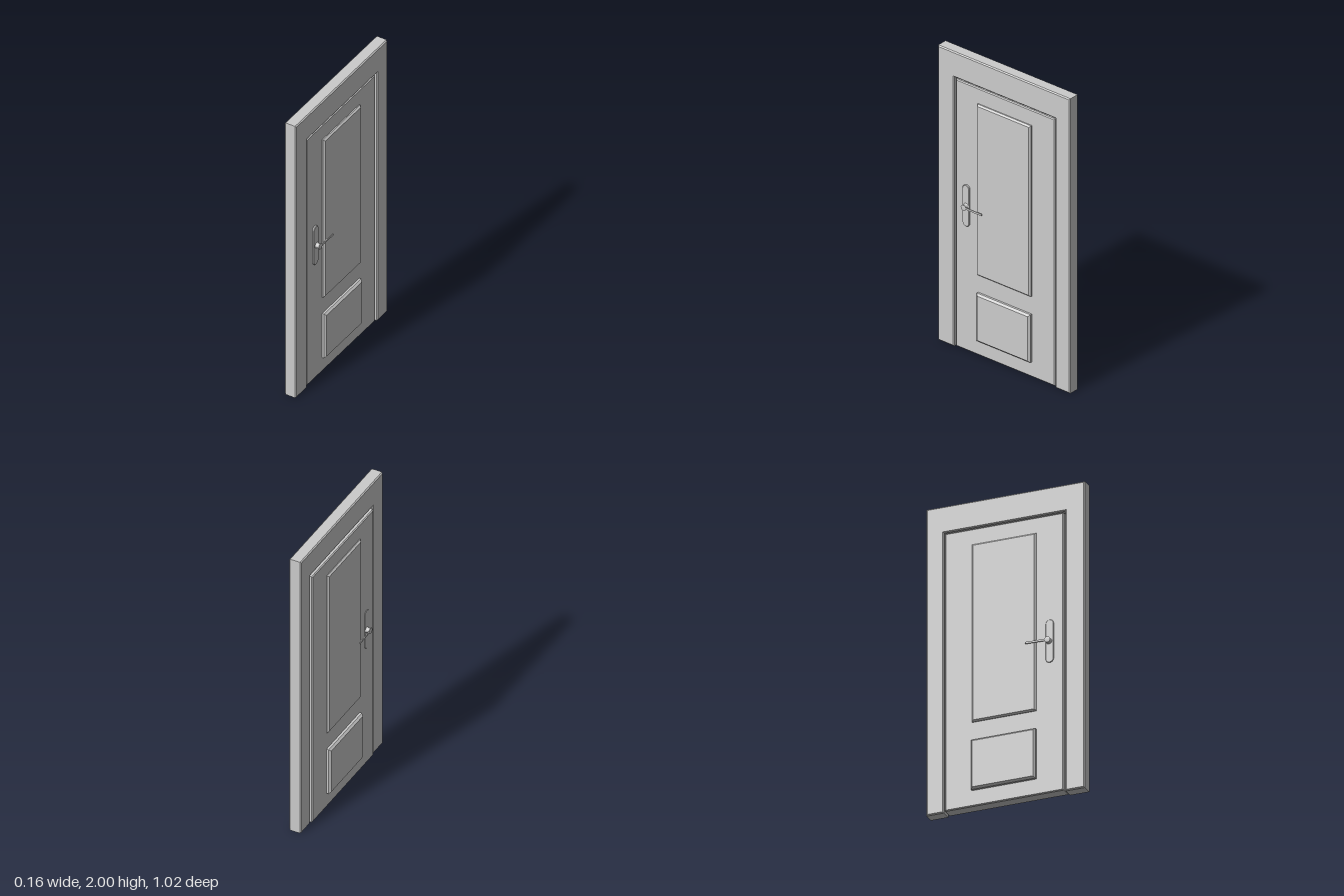
import * as THREE from 'three';

const material = new THREE.MeshStandardMaterial({ color: 0xcccccc, flatShading: true, side: THREE.DoubleSide });
const smooth = new THREE.MeshStandardMaterial({ color: 0xcccccc, side: THREE.DoubleSide });

function add(group, name, geometry, mat = material) {
  const mesh = new THREE.Mesh(geometry, mat);
  mesh.name = name;
  group.add(mesh);
  return mesh;
}

// Outline in (z, y), extruded across x from x0 to x1 with chamfered edges
function slab(shape, x0, x1, bevel, curveSegments = 12) {
  const geometry = new THREE.ExtrudeGeometry(shape, {
    depth: x1 - x0 - 2 * bevel, bevelEnabled: true, bevelThickness: bevel,
    bevelSize: bevel, bevelOffset: -bevel, bevelSegments: 1, curveSegments,
  });
  geometry.rotateY(-Math.PI / 2);
  geometry.translate(x1 - bevel, 0, 0);
  return geometry;
}

const polygon = (points) => new THREE.Shape(points.map(([z, y]) => new THREE.Vector2(z, y)));
const rect = (z0, z1, y0, y1) => polygon([[z0, y0], [z1, y0], [z1, y1], [z0, y1]]);

// Upright stadium outline for the handle plates
function stadium(z, y0, y1, r) {
  const shape = new THREE.Shape();
  shape.moveTo(z + r, y0 + r);
  shape.lineTo(z + r, y1 - r);
  shape.absarc(z, y1 - r, r, 0, Math.PI, false);
  shape.lineTo(z - r, y0 + r);
  shape.absarc(z, y0 + r, r, Math.PI, 2 * Math.PI, false);
  return shape;
}

// Handle for one face: plate, flared spindle and slim lever
function handle(name, side, plateFace, end, tip) {
  const group = new THREE.Group();
  group.name = name;
  const z = 0.286, y = 0.99;
  const inner = plateFace - side * 0.014;
  add(group, 'handlePlate', slab(stadium(0.29, 0.85, 1.13, 0.026),
    Math.min(inner, plateFace), Math.max(inner, plateFace), 0.003));

  const length = Math.abs(end - plateFace);
  const profile = [[0.022, -0.004], [0.017, 0.003], [0.015, 0.008], [0.015, length * 0.65],
    [0.019, length - 0.003], [0.019, length], [0, length]];
  const spindle = new THREE.LatheGeometry(profile.map(([r, h]) => new THREE.Vector2(r, h)), 20);
  spindle.rotateZ(-side * Math.PI / 2);
  spindle.translate(plateFace, y, z);
  add(group, 'handleSpindle', spindle, smooth);

  const reach = z - 0.145;
  const lever = new THREE.BoxGeometry(0.006, 0.012, reach);
  const root = end - side * 0.004;
  const position = lever.attributes.position;
  for (let i = 0; i < position.count; i++) {
    const t = 0.5 - position.getZ(i) / reach;
    position.setX(i, position.getX(i) + root + (tip - root) * t);
  }
  lever.translate(0, y, z - reach / 2);
  add(group, 'handleLever', lever);
  return group;
}

export function createModel() {
  const model = new THREE.Group();
  model.name = 'door';

  // Surround, open at the foot
  add(model, 'doorFrame', slab(polygon([
    [-0.51, 0], [-0.398, 0], [-0.398, 1.828], [0.386, 1.828],
    [0.386, 0], [0.51, 0], [0.51, 2], [-0.51, 2],
  ]), -0.035, 0.045, 0.007));

  // Door leaf, set slightly towards the -x face
  add(model, 'doorLeaf', slab(rect(-0.386, 0.378, 0.003, 1.815), -0.044, 0.036, 0.006));

  // Raised panels standing out of both faces
  add(model, 'upperPanel', slab(rect(-0.21, 0.205, 0.55, 1.71), -0.058, 0.053, 0.01));
  add(model, 'lowerPanel', slab(rect(-0.21, 0.205, 0.105, 0.43), -0.071, 0.061, 0.012));

  model.add(handle('leftHandle', 1, 0.049, 0.077, 0.074));
  model.add(handle('rightHandle', -1, -0.047, -0.075, -0.077));
  return model;
}
